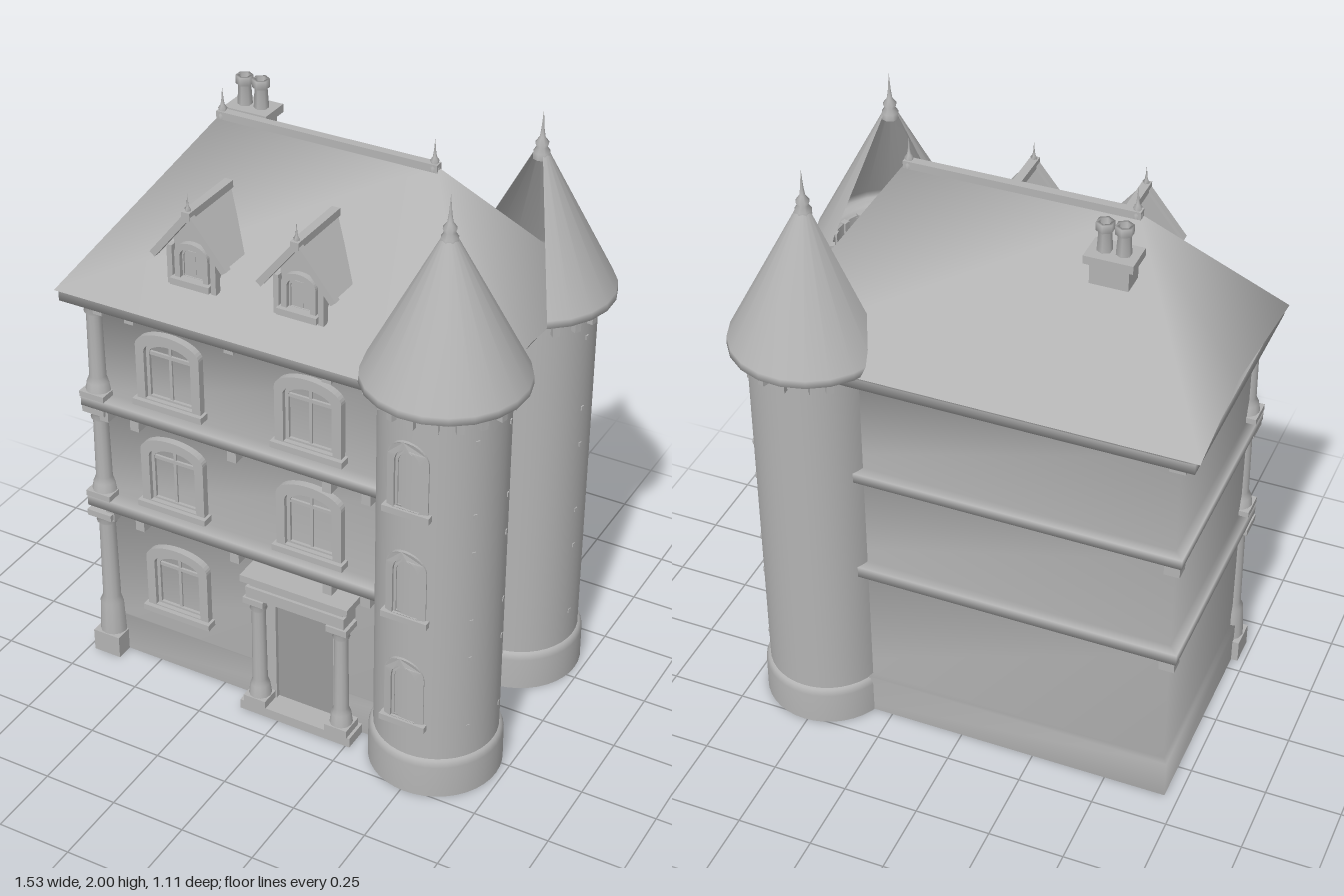
import * as THREE from 'three';

const stone = new THREE.MeshStandardMaterial({ color: 0xb3b3b3, side: THREE.DoubleSide });
stone.name = 'stone grey';
const doorGrey = new THREE.MeshStandardMaterial({ color: 0x9a9a9a, side: THREE.DoubleSide });
doorGrey.name = 'door grey';

function add(parent, name, geometry, x = 0, y = 0, z = 0, material = stone) {
  const mesh = new THREE.Mesh(geometry, material);
  mesh.name = name;
  mesh.position.set(x, y, z);
  parent.add(mesh);
  return mesh;
}
function group(parent, name, x = 0, y = 0, z = 0) {
  const g = new THREE.Group();
  g.name = name;
  g.position.set(x, y, z);
  parent.add(g);
  return g;
}
// box given by its minimum and maximum corners
function block(parent, name, x0, x1, y0, y1, z0, z1, material) {
  return add(parent, name, new THREE.BoxGeometry(x1 - x0, y1 - y0, z1 - z0),
    (x0 + x1) / 2, (y0 + y1) / 2, (z0 + z1) / 2, material);
}
function lathe(points, segments, start = 0, length = Math.PI * 2) {
  return new THREE.LatheGeometry(points.map(p => new THREE.Vector2(...p)), segments, start, length);
}
// faces listed as point-index polygons, smooth over shared points
function faces(points, polygons) {
  const index = [];
  for (const p of polygons)
    for (let i = 1; i < p.length - 1; i++) index.push(p[0], p[i], p[i + 1]);
  const g = new THREE.BufferGeometry();
  g.setAttribute('position', new THREE.Float32BufferAttribute(points.flat(), 3));
  g.setIndex(index);
  g.computeVertexNormals();
  return g;
}

// round-topped outline, standing on y = y0
function archOutline(path, w, y0, h, rise) {
  path.moveTo(-w / 2, y0);
  path.lineTo(w / 2, y0);
  path.lineTo(w / 2, y0 + h - rise);
  path.absellipse(0, y0 + h - rise, w / 2, rise, 0, Math.PI, false);
  path.lineTo(-w / 2, y0);
  return path;
}
function archFrame(w, h, rise, border, depth) {
  const s = archOutline(new THREE.Shape(), w, 0, h, rise);
  s.holes.push(archOutline(new THREE.Path(), w - 2 * border, border * 0.6, h - border * 1.6, rise * 0.8));
  return new THREE.ExtrudeGeometry(s, { depth, bevelEnabled: false, curveSegments: 10 });
}

// window with frame, sash, glazing bar and sill; z = 0 lies on the wall
function archWindow(parent, x, y, z, w, h, rise, border, bars) {
  const g = group(parent, 'window', x, y, z);
  add(g, 'windowFrame', archFrame(w, h, rise, border, 0.035), 0, 0, -0.01);
  const iw = w - 2 * border;
  add(g, 'windowSash', archFrame(iw + 0.01, h - border * 1.5, rise * 0.8, border * 0.55, 0.02), 0, border * 0.5, -0.01);
  block(g, 'windowSill', -w / 2 - 0.01, w / 2 + 0.01, -0.008, 0.014, -0.01, 0.04);
  if (bars) {
    block(g, 'glazingBar', -0.005, 0.005, 0.01, h - border, -0.02, 0.006);
    block(g, 'transom', -iw / 2, iw / 2, h * 0.66, h * 0.66 + 0.012, -0.02, 0.008);
  }
  return g;
}
// wraps a window around a round wall of radius r
function bend(windowGroup, r) {
  for (const mesh of windowGroup.children) {
    const p = mesh.geometry.attributes.position;
    for (let i = 0; i < p.count; i++) p.setZ(i, p.getZ(i) * 0.6 + Math.sqrt(r * r - p.getX(i) ** 2) - r);
    mesh.geometry.computeVertexNormals();
  }
}

function finial(parent, x, y, z, s, sides) {
  add(parent, 'finial', lathe([[0.026, -0.02], [0.026, 0], [0.016, 0.015], [0.021, 0.028],
    [0.009, 0.045], [0.005, 0.07], [0, 0.13]].map(p => [p[0] * s, p[1] * s]), sides), x, y, z);
}

function column(parent, x, z, y0, y1, r, base) {
  const g = group(parent, 'column', x, 0, z);
  block(g, 'columnBase', -r * 1.6, r * 1.6, y0, y0 + base * 0.4, -r * 1.6, r * 1.6);
  add(g, 'columnShaft', lathe([[r * 1.5, y0 + base * 0.4], [r * 1.3, y0 + base], [r, y0 + base + 0.02],
    [r * 0.9, y1 - 0.06], [r * 1.15, y1 - 0.05], [r, y1 - 0.04], [r * 1.35, y1 - 0.02]], 12));
  block(g, 'columnCapital', -r * 1.45, r * 1.45, y1 - 0.022, y1, -r * 1.45, r * 1.45);
}

function buildTower(parent, side) {
  const g = group(parent, side > 0 ? 'frontTower' : 'backTower', 0.512, 0, 0.3 * side);
  g.scale.z = side;
  const a = -Math.PI / 2;
  // wall and plinth, left open where they sink into the house
  add(g, 'towerWall', lathe([[0.199, 0.13], [0.197, 1.39]], 30, a, Math.PI * 1.5));
  add(g, 'towerPlinth', lathe([[0.215, 0], [0.214, 0.115], [0.207, 0.135], [0.197, 0.14]], 30, a, Math.PI * 1.5));
  // roof, open towards the main roof
  const arc = 237 * Math.PI / 180;
  add(g, 'towerCornice', lathe([[0.197, 1.383], [0.212, 1.386], [0.212, 1.402], [0.24, 1.402]], 24, a, arc));
  add(g, 'towerRoof', lathe([[0.235, 1.4], [0.254, 1.405], [0.252, 1.43], [0.02, 1.87]], 14, a, arc));
  finial(g, 0, 1.865, 0, 1.04, 8);
  for (let i = 0; i < 12; i++) {
    const t = a + (i + 0.5) / 12 * arc;
    const c = add(g, 'towerCorbel', new THREE.BoxGeometry(0.022, 0.04, 0.026), 0.203 * Math.sin(t), 1.37, 0.203 * Math.cos(t));
    c.rotation.y = t;
  }
  // small stones on the outer wall
  for (const y of [0.255, 0.52, 0.66, 0.91, 1.045, 1.3])
    for (const deg of [55, 100]) {
      const t = deg * Math.PI / 180;
      add(g, 'wallStud', new THREE.BoxGeometry(0.012, 0.014, 0.01), 0.196 * Math.sin(t), y, 0.196 * Math.cos(t)).rotation.y = t;
    }
  if (side > 0)
    for (const y of [0.26, 0.66, 1.045]) bend(archWindow(g, -0.017, y, 0.196, 0.135, 0.25, 0.067, 0.026, false), 0.197);
}

function buildDormer(parent, x) {
  const g = group(parent, 'dormer', x);
  // gabled body
  const s = new THREE.Shape([[-0.07, 1.46], [0.07, 1.46], [0.07, 1.655], [0, 1.735], [-0.07, 1.655]].map(p => new THREE.Vector2(...p)));
  add(g, 'dormerBody', new THREE.ExtrudeGeometry(s, { depth: 0.19, bevelEnabled: false }), 0, 0, 0.15);
  for (const m of [-1, 1]) {
    // roof slope, running back into the main roof
    add(g, 'dormerRoof', faces([[0, 1.752, 0.13], [0, 1.752, 0.37], [0.122 * m, 1.6, 0.37], [0.122 * m, 1.6, 0.25]],
      [m > 0 ? [0, 1, 2, 3] : [3, 2, 1, 0]]));
    const barge = add(g, 'bargeBoard', new THREE.BoxGeometry(0.2, 0.022, 0.025), 0.062 * m, 1.672, 0.365);
    barge.rotation.z = -m * Math.atan2(0.152, 0.122);
    block(g, 'dormerBracket', 0.075 * m - 0.009, 0.075 * m + 0.009, 1.5, 1.63, 0.335, 0.36);
  }
  block(g, 'dormerRidge', -0.014, 0.014, 1.74, 1.765, 0.135, 0.38);
  archWindow(g, 0, 1.515, 0.335, 0.115, 0.135, 0.04, 0.018, true);
  finial(g, 0, 1.755, 0.365, 0.55, 4);
}

// walls with plinth, floor bands and eaves in one skin, open underneath
function buildWalls(parent) {
  const plain = [-0.69, 0.5, 0.335, -0.365];
  const plinth = [-0.705, 0.51, 0.335, -0.385];
  const band = [-0.722, 0.53, 0.385, -0.402];
  const eave = [-0.752, 0.62, 0.42, -0.43];
  const levels = [[0, plinth], [0.14, plinth], [0.145, plain], [0.59, plain], [0.59, band], [0.63, band], [0.63, plain],
    [0.975, plain], [0.975, band], [1.01, band], [1.01, plain], [1.365, plain], [1.365, eave], [1.4, eave]];
  const points = [], quads = [];
  levels.forEach(([y, [x0, x1, zf, zb]], i) => {
    points.push([x0, y, zf], [x1, y, zf], [x1, y, zb], [x0, y, zb]);
    if (i > 0)
      for (let k = 0; k < 4; k++) {
        const n = (k + 1) % 4, low = 4 * (i - 1), top = 4 * i;
        quads.push([low + k, low + n, top + n, top + k]);
      }
  });
  add(parent, 'houseWalls', faces(points, quads));
}

export function createModel() {
  const model = new THREE.Group();
  model.name = 'towerHouse';
  const Z = 0.335;
  buildWalls(model);

  // corbels under the floor bands
  for (const y of [0.59, 0.975, 1.365]) {
    for (const x of [-0.645, -0.53, -0.175, 0.16, 0.295])
      block(model, 'bandCorbel', x - 0.016, x + 0.016, y - 0.045, y, Z - 0.01, Z + 0.04);
    block(model, 'cornerCorbel', -0.715, -0.665, y - 0.04, y, -0.395, -0.345);
  }

  // corner columns, one per storey
  column(model, -0.678, 0.345, 0, 0.575, 0.031, 0.2);
  column(model, -0.678, 0.345, 0.63, 0.975, 0.028, 0.05);
  column(model, -0.678, 0.345, 1.01, 1.365, 0.028, 0.05);

  // front windows
  for (const [x, y] of [[-0.407, 0.236], [-0.407, 0.655], [-0.407, 1.04], [0.087, 0.655], [0.087, 1.04]])
    archWindow(model, x, y, Z, 0.23, 0.26, 0.055, 0.03, true);

  // entrance
  const e = group(model, 'entrance', 0.065);
  block(e, 'doorStep', -0.205, 0.2, 0, 0.035, Z - 0.02, 0.42);
  block(e, 'door', -0.12, 0.11, 0.035, 0.46, Z - 0.003, Z + 0.005, doorGrey);
  for (const m of [-1, 1]) {
    column(e, 0.15 * m, 0.383, 0.035, 0.46, 0.025, 0.07);
    block(e, 'doorJamb', 0.125 * m - 0.02, 0.125 * m + 0.02, 0.035, 0.46, Z - 0.01, Z + 0.02);
  }
  block(e, 'architrave', -0.18, 0.175, 0.46, 0.5, Z - 0.02, 0.412);
  block(e, 'frieze', -0.17, 0.165, 0.5, 0.52, Z - 0.02, 0.402);
  block(e, 'doorCornice', -0.195, 0.19, 0.52, 0.545, Z - 0.02, 0.42);

  // hipped roof with slightly hollow ends
  const r = [[-0.765, 1.4, 0.425], [0.67, 1.4, 0.425], [0.64, 1.4, 0], [0.67, 1.4, -0.425], [-0.765, 1.4, -0.425],
    [-0.74, 1.4, 0], [-0.41, 1.9, 0], [0.32, 1.9, 0]];
  add(model, 'mainRoof', faces(r, [[0, 1, 7, 6], [1, 2, 7], [2, 3, 7], [3, 4, 6, 7], [4, 5, 6], [5, 0, 6]]));
  add(model, 'roofSoffit', faces(r, [[5, 4, 3, 2], [5, 2, 1, 0]]));
  block(model, 'roofRidge', -0.42, 0.325, 1.885, 1.91, -0.014, 0.014);
  finial(model, -0.405, 1.9, 0, 0.68, 6);
  finial(model, 0.31, 1.9, 0, 0.68, 6);

  // chimney
  const c = group(model, 'chimney', -0.395, 0, -0.16);
  block(c, 'chimneyStack', -0.06, 0.06, 1.765, 1.835, -0.04, 0.04);
  block(c, 'chimneyCap', -0.076, 0.076, 1.835, 1.862, -0.052, 0.052);
  for (const m of [-1, 1])
    add(c, 'chimneyPot', lathe([[0.024, 1.86], [0.02, 1.925], [0.028, 1.93], [0.028, 1.957], [0.018, 1.957], [0.018, 1.9], [0, 1.9]], 6), 0.029 * m);

  for (const x of [-0.305, 0.06]) buildDormer(model, x);
  for (const side of [1, -1]) buildTower(model, side);
  return model;
}
